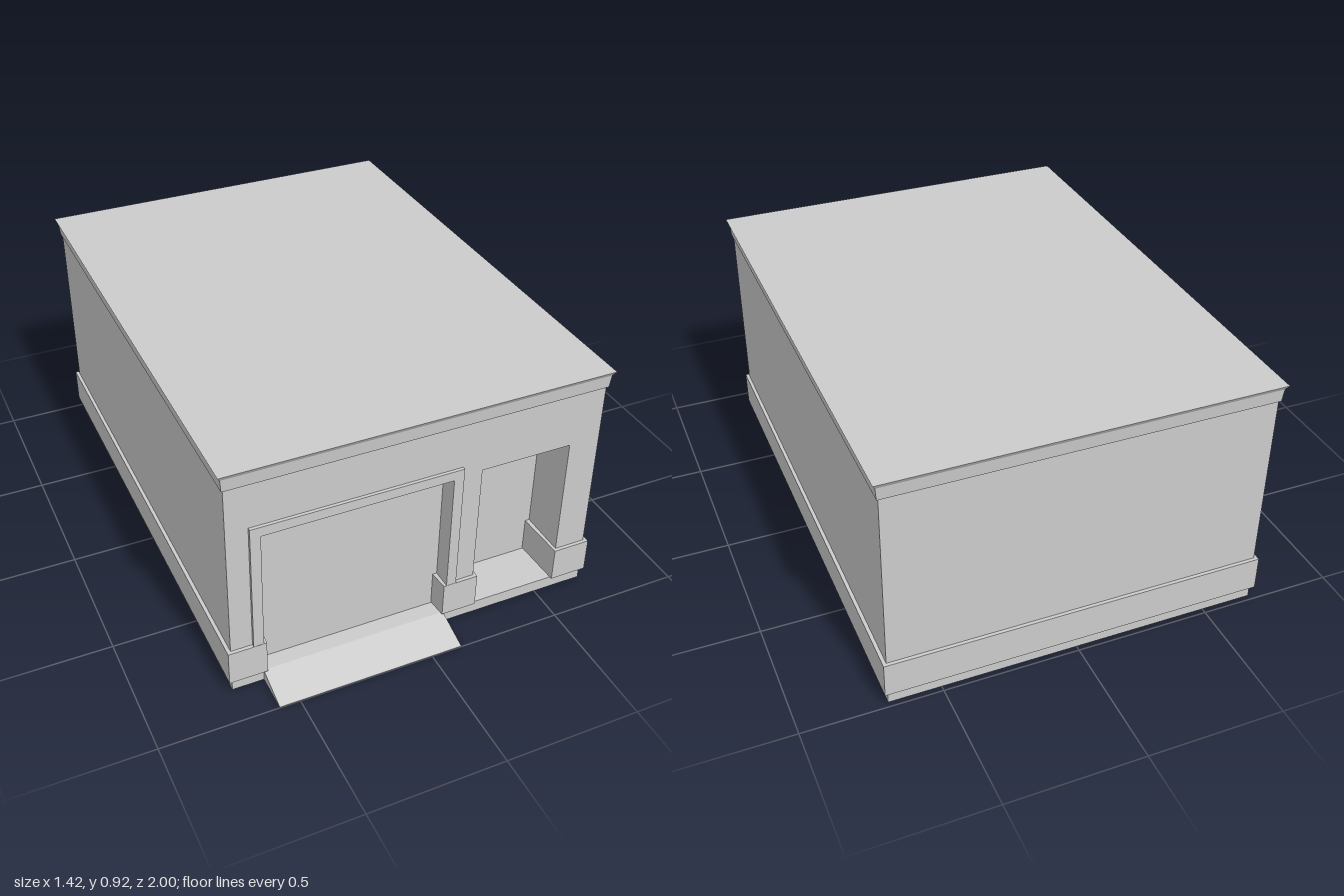
import * as THREE from 'three';

const material = new THREE.MeshStandardMaterial({ color: 0xcccccc, flatShading: true });

// Main footprint and the two front openings
const HALF_W = 0.69, FRONT = 0.86, BACK = -0.98;
const FLOOR = 0.045, LINTEL = 0.645, BAND_TOP = 0.18;
const GARAGE = { x0: -0.575, x1: 0.115, depth: 0.06 };
const DOORWAY = { x0: 0.228, x1: 0.572, depth: 0.18 };
const PANEL = 0.01;

function add(group, name, geometry) {
  const mesh = new THREE.Mesh(geometry, material);
  mesh.name = name;
  group.add(mesh);
}

function box(x0, x1, y0, y1, z0, z1) {
  return new THREE.BoxGeometry(x1 - x0, y1 - y0, z1 - z0)
    .translate((x0 + x1) / 2, (y0 + y1) / 2, (z0 + z1) / 2);
}

// Footprint grown by an offset, with each opening cut into the front.
// The openings narrow by `lip` at the mouth and a little more inside.
function plan(offset, lip, taper) {
  const w = HALF_W + offset, f = FRONT + offset, b = BACK - offset;
  const points = [[-w, b], [-w, f]];
  for (const { x0, x1, depth } of [GARAGE, DOORWAY]) {
    const back = FRONT - depth - PANEL;
    const a = x0 + lip, c = x1 - lip;
    points.push([a, f], [a + taper, back], [c - taper, back], [c, f]);
  }
  points.push([w, f], [w, b]);
  return new THREE.Shape(points.map(([x, z]) => new THREE.Vector2(x, -z)));
}

function extrudeUp(shape, y0, y1) {
  return new THREE.ExtrudeGeometry(shape, { depth: y1 - y0, bevelEnabled: false })
    .rotateX(-Math.PI / 2).translate(0, y0, 0);
}

// Rectangular moulding swept around the footprint, closed by a flat roof
function moulding(profile) {
  const positions = [], index = [];
  for (const [offset, y] of profile) {
    const w = HALF_W + offset, f = FRONT + offset, b = BACK - offset;
    positions.push(-w, y, f, w, y, f, w, y, b, -w, y, b);
  }
  for (let r = 0; r < profile.length - 1; r++) {
    for (let i = 0; i < 4; i++) {
      const a = r * 4 + i, b = r * 4 + (i + 1) % 4;
      index.push(a, b, b + 4, a, b + 4, a + 4);
    }
  }
  const top = (profile.length - 1) * 4;
  index.push(top, top + 1, top + 2, top, top + 2, top + 3);
  const geometry = new THREE.BufferGeometry();
  geometry.setAttribute('position', new THREE.Float32BufferAttribute(positions, 3));
  geometry.setIndex(index);
  const flat = geometry.toNonIndexed();
  flat.computeVertexNormals();
  return flat;
}

export function createModel() {
  const group = new THREE.Group();
  group.name = 'garageBuilding';

  // Walls: plinth, storey with openings, solid upper wall
  add(group, 'plinth', box(-HALF_W, HALF_W, 0, FLOOR, BACK, FRONT));
  add(group, 'walls', extrudeUp(plan(0, 0, 0), FLOOR, LINTEL));
  add(group, 'upperWalls', box(-HALF_W, HALF_W, LINTEL, 0.9, BACK, FRONT));

  // Projecting band that turns into both openings
  add(group, 'baseBand', extrudeUp(plan(0.013, 0.01, 0.007), FLOOR + 0.003, BAND_TOP));

  // Recessed door panels
  for (const [name, o] of [['garageDoor', GARAGE], ['entranceDoor', DOORWAY]]) {
    const face = FRONT - o.depth;
    add(group, name, box(o.x0, o.x1, FLOOR, LINTEL, face - PANEL, face));
  }

  // Raised surround on the garage opening
  const t = 0.037;
  const surround = new THREE.Shape([
    [GARAGE.x0 - t, BAND_TOP], [GARAGE.x0, BAND_TOP], [GARAGE.x0, LINTEL],
    [GARAGE.x1, LINTEL], [GARAGE.x1, BAND_TOP], [GARAGE.x1 + t, BAND_TOP],
    [GARAGE.x1 + t, LINTEL + t], [GARAGE.x0 - t, LINTEL + t],
  ].map(([x, y]) => new THREE.Vector2(x, y)));
  add(group, 'garageSurround', new THREE.ExtrudeGeometry(surround, { depth: 0.012, bevelEnabled: false })
    .translate(0, 0, FRONT));

  // Wedge ramp up to the garage floor
  const wedge = new THREE.Shape([[-1, 0], [-FRONT, 0], [-FRONT, FLOOR], [-1, 0.003]]
    .map(([x, y]) => new THREE.Vector2(x, y)));
  add(group, 'ramp', new THREE.ExtrudeGeometry(wedge, { depth: GARAGE.x1 - GARAGE.x0, bevelEnabled: false })
    .rotateY(Math.PI / 2).translate(GARAGE.x0, 0, 0));

  // Cornice and flat roof
  add(group, 'corniceAndRoof', moulding([
    [0, 0.853], [0.006, 0.855], [0.007, 0.865], [0.01, 0.903], [0.018, 0.916], [0.02, 0.92],
  ]));

  return group;
}
